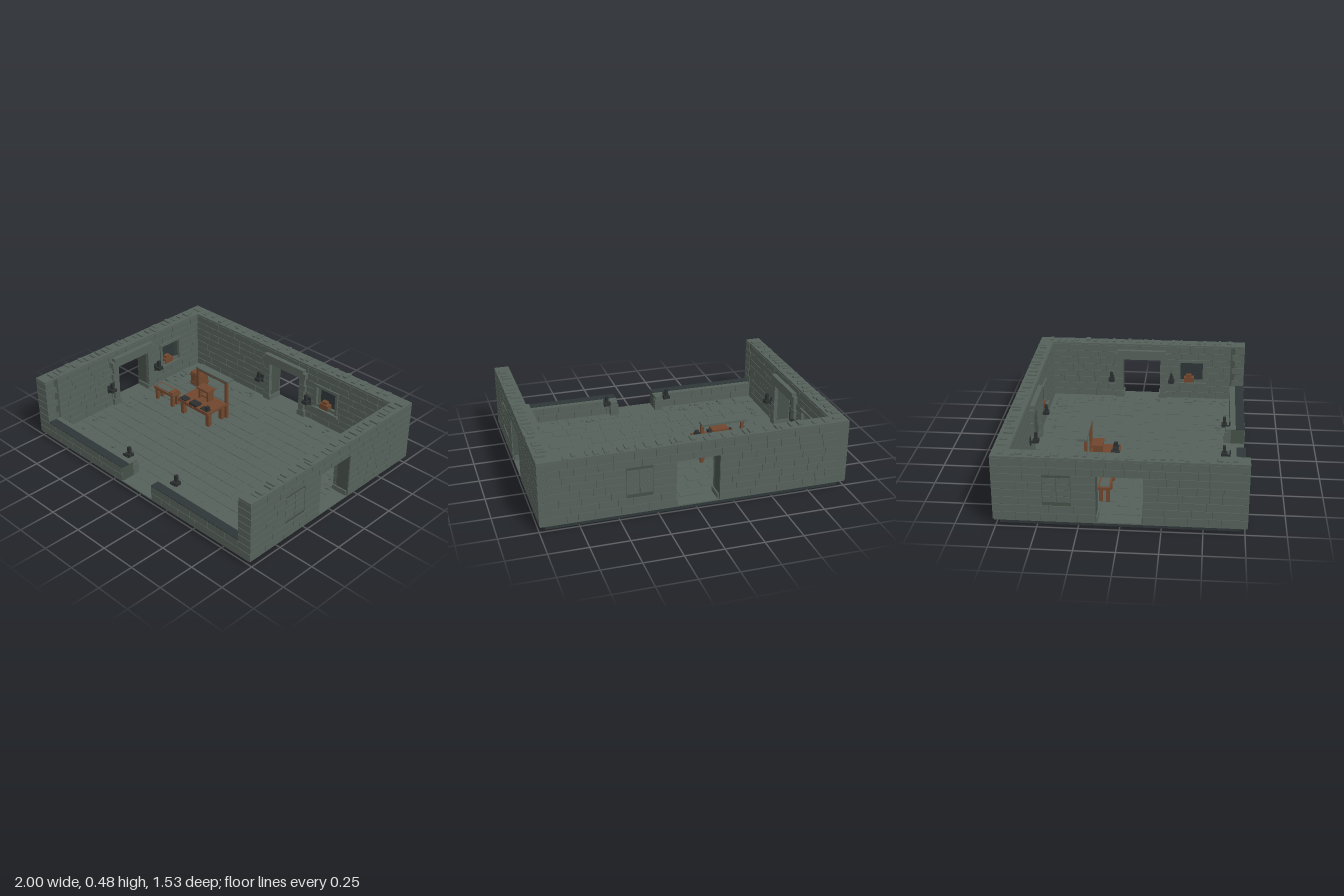
import * as THREE from 'three';
import { mergeGeometries } from 'three/addons/utils/BufferGeometryUtils.js';

const mat = (name, color) => Object.assign(new THREE.MeshStandardMaterial({ color }), { name });

export function createModel() {
  const stone = mat('stone', 0x56615a);
  const mortar = mat('mortar', 0x465049);
  const dark = mat('dark stone', 0x2e3638);
  const iron = mat('iron', 0x2b2f30);
  const wood = mat('wood', 0x70462d);

  let seed = 7;
  const rnd = (a = 0, b = 1) => {
    seed = (seed * 16807) % 2147483647;
    return a + (b - a) * (seed / 2147483647);
  };

  // box given by its min and max corners
  const span = (x0, x1, y0, y1, z0, z1) =>
    new THREE.BoxGeometry(x1 - x0, y1 - y0, z1 - z0)
      .translate((x0 + x1) / 2, (y0 + y1) / 2, (z0 + z1) / 2);
  const add = (parent, name, material, geos) => {
    const m = new THREE.Mesh(mergeGeometries(geos), material);
    m.name = name;
    parent.add(m);
    return m;
  };

  const model = new THREE.Group();
  model.name = 'stoneRoom';

  const FLOOR = 0.046, TOP = 0.456, DOOR = 0.14, DOORTOP = 0.355;
  const door = [-DOOR, DOOR, FLOOR, DOORTOP];
  const niche = [0.29, 0.46, 0.175, 0.335];

  // one leaf of wall with a doorway cut from its lower edge and optional holes
  const leaf = (h, z0, z1, holes) => {
    const s = new THREE.Shape();
    [[-h, FLOOR], [-DOOR, FLOOR], [-DOOR, DOORTOP], [DOOR, DOORTOP], [DOOR, FLOOR],
      [h, FLOOR], [h, TOP], [-h, TOP]].forEach(([x, y], i) => (i ? s.lineTo(x, y) : s.moveTo(x, y)));
    for (const [a, b, c, d] of holes) {
      const p = new THREE.Path();
      p.moveTo(a, c).lineTo(a, d).lineTo(b, d).lineTo(b, c).closePath();
      s.holes.push(p);
    }
    return new THREE.ExtrudeGeometry(s, { depth: z1 - z0, bevelEnabled: false })
      .translate(0, 0, z0).deleteAttribute('uv').toNonIndexed?.() ?? null;
  };

  // courses of thin bricks between u0 and u1, leaving openings free
  const bricks = (u0, u1, y0, y1, rows, z0, z1, openings) => {
    const out = [], rh = (y1 - y0) / rows;
    for (let r = 0; r < rows; r++) {
      const yb = y0 + r * rh, mid = yb + rh / 2;
      let runs = [[u0, u1]];
      for (const [a, b, c, d] of openings) {
        if (mid < c || mid > d) continue;
        runs = runs.flatMap(([p, q]) => [[p, Math.min(q, a)], [Math.max(p, b), q]])
          .filter(([p, q]) => q - p > 0.012);
      }
      for (const [p, q] of runs) {
        let u = p;
        while (u < q - 0.001) {
          let e = u + rnd(0.07, 0.19);
          if (q - e < 0.05) e = q;
          out.push(span(u + 0.0015, e - 0.0015, yb + 0.0015, yb + rh - 0.0015, z0, z1));
          u = e;
        }
      }
    }
    return out;
  };

  // bracket with an iron cup and a thin candle, standing off a wall
  const sconce = (parent, u, y) => {
    add(parent, 'sconce', iron, [
      span(u - 0.014, u + 0.014, y - 0.02, y + 0.04, 0, 0.008),
      span(u - 0.006, u + 0.006, y, y + 0.012, 0, 0.04),
      span(u - 0.022, u + 0.022, y + 0.006, y + 0.028, 0.022, 0.062),
      span(u - 0.01, u + 0.01, y + 0.028, y + 0.075, 0.033, 0.052),
    ]);
  };

  // full-height wall: inner face at z = 0 looking along +z, 0.1 thick
  const wall = (name, half, inner, outer) => {
    const g = new THREE.Group();
    g.name = name;
    const core = new THREE.Mesh(mergeGeometries([leaf(half, -0.05, -0.004, [niche]), leaf(half, -0.094, -0.05, [])]), mortar);
    core.name = 'wallCore';
    g.add(core);
    add(g, 'innerBricks', stone, bricks(-inner, inner, FLOOR, TOP, 8, -0.006, 0.002, [door, niche]));
    const blind = [];
    for (let i = 0; i < 2; i++) for (let j = 0; j < 4; j++) {
      const u = 0.29 + i * 0.085, y = 0.172 + j * 0.041;
      blind.push(span(u + 0.002, u + 0.083, y + 0.002, y + 0.039, -0.099, -0.092));
    }
    add(g, 'outerBricks', stone, [
      ...bricks(-outer, outer, FLOOR, TOP, 8, -0.1, -0.092, [door, [0.29, 0.46, 0.172, 0.336]]), ...blind]);

    // coping with loose stones on top
    const cope = [span(-half, half, TOP, 0.468, -0.1, 0)];
    for (let i = 0; i < 26; i++) {
      const u = -half + 0.04 + ((i + rnd(0, 0.6)) / 26) * (2 * half - 0.08), w = rnd(0.014, 0.035);
      const z = rnd(-0.099, -0.07);
      cope.push(span(u, u + w, 0.465, rnd(0.473, 0.48), z, z + rnd(0.045, 0.065)));
    }
    add(g, 'coping', stone, cope);

    // doorway surround
    const surround = [span(-0.2, 0.2, DOORTOP, 0.4, -0.01, 0.03), span(-0.18, 0.18, 0.4, 0.425, -0.01, 0.035)];
    for (const s of [-1, 1]) {
      for (let k = 0; k < 6; k++) {
        const w = k % 2 ? 0.045 : 0.055, a = s * DOOR, b = s * (DOOR + w);
        surround.push(span(Math.min(a, b), Math.max(a, b), FLOOR + k * 0.0515, FLOOR + k * 0.0515 + 0.0495, -0.01, 0.022));
      }
      surround.push(span(s * 0.136 - 0.006, s * 0.136 + 0.006, FLOOR, 0.08, -0.09, 0.022));
      sconce(g, s * 0.225, 0.18);
    }
    add(g, 'doorSurround', stone, surround);

    // niche window with dark back and a small wooden box on the sill
    add(g, 'nicheBack', dark, [span(0.29, 0.46, 0.175, 0.335, -0.05, -0.046)]);
    add(g, 'nicheFrame', stone, [
      span(0.265, 0.485, 0.155, 0.176, -0.045, 0.024), span(0.27, 0.48, 0.335, 0.355, -0.01, 0.014),
      span(0.272, 0.292, 0.176, 0.335, -0.01, 0.012), span(0.458, 0.478, 0.176, 0.335, -0.01, 0.012)]);
    add(g, 'nicheBox', wood, [span(0.32, 0.395, 0.176, 0.215, -0.036, 0.008), span(0.335, 0.375, 0.215, 0.235, -0.03, 0)]);
    model.add(g);
    return g;
  };

  wall('backWall', 0.9, 0.9, 0.93).position.set(0, 0, -0.665);
  for (const s of [-1, 1]) {
    const side = wall(s < 0 ? 'rightWall' : 'leftWall', 0.76, 0.665, 0.7);
    side.position.set(s * 0.9, 0, 0);
    side.rotation.y = -s * Math.PI / 2;
  }

  // corner blocks
  const quoins = [];
  for (const sx of [-1, 1]) for (const sz of [-1, 1]) for (let r = 0; r < 8; r++) {
    const y = FLOOR + r * 0.05125, l = r % 2 ? 0.07 : 0.09;
    quoins.push(span(-0.0505, 0.0505, y + 0.002, y + 0.049, -l / 2, l / 2).translate(sx * 0.9495, 0, sz * (0.765 - l / 2)));
  }
  for (const sx of [-1, 1]) for (const sz of [-1, 1])
    quoins.push(span(-0.05, 0.05, TOP, 0.468, -0.05, 0.05).translate(sx * 0.95, 0, sz * 0.715));
  add(model, 'cornerBlocks', stone, quoins);

  // low front wall on both sides of the entrance
  for (const s of [-1, 1]) {
    const g = new THREE.Group();
    g.name = 'frontLowWall';
    const a = s < 0 ? -0.9 : DOOR, b = s < 0 ? -DOOR : 0.9;
    add(g, 'lowCore', mortar, [span(a, b, FLOOR, 0.15, 0.669, 0.76)]);
    add(g, 'lowBricks', stone, [
      ...bricks(a, b, FLOOR, 0.152, 2, 0.758, 0.765, []),
      ...bricks(a, b, FLOOR, 0.152, 2, 0.663, 0.671, []),
      span(a, b, 0.148, 0.153, 0.665, 0.702)]);
    add(g, 'lowCap', dark, [span(a, b, 0.148, 0.156, 0.702, 0.764)]);
    const p = s * 0.168;
    add(g, 'entrancePier', stone, [span(p - 0.03, p + 0.03, FLOOR, 0.125, 0.622, 0.67), span(p - 0.024, p + 0.024, 0.125, 0.15, 0.63, 0.67)]);
    const hold = new THREE.Group();
    hold.name = 'frontSconce';
    hold.position.z = 0.665;
    hold.rotation.y = Math.PI;
    sconce(hold, -s * 0.225, 0.13);
    g.add(hold);
    model.add(g);
  }

  // base slab, floor and flagstones
  add(model, 'baseSlab', dark, [span(-0.96, 0.96, 0, 0.04, -0.73, 0.73)]);
  add(model, 'floor', stone, [span(-0.995, 0.995, 0.038, FLOOR, -0.762, 0.762)]);
  const flags = [];
  for (let r = 0; r < 15; r++) {
    const z = -0.665 + r * 0.0887;
    for (let u = -0.9; u < 0.899;) {
      let e = u + rnd(0.08, 0.17);
      if (0.9 - e < 0.06) e = 0.9;
      flags.push(span(u + 0.0015, e - 0.0015, 0.042, rnd(0.047, 0.05), z + 0.0015, z + 0.087));
      u = e;
    }
  }
  add(model, 'flagstones', stone, flags);

  // rubble along the walls
  const rubble = [];
  for (let i = 0; i < 80; i++) {
    const w = rnd(0.006, 0.016), d = rnd(0.006, 0.014), t = rnd(0, 0.09);
    const s = rnd() < 0.5 ? -1 : 1, ends = i % 2;
    const x = ends ? s * (0.87 - t) : s * rnd(0.25, 0.85), z = ends ? rnd(-0.62, 0.62) : (rnd() < 0.5 ? -1 : 1) * (0.64 - t);
    rubble.push(span(x - w, x + w, 0.045, rnd(0.053, 0.06), z - d, z + d));
  }
  add(model, 'rubble', stone, rubble);

  const legs = (x0, x1, z0, z1, y, t) => [[x0, z0], [x1 - t, z0], [x0, z1 - t], [x1 - t, z1 - t]]
    .map(([x, z]) => span(x, x + t, FLOOR, y, z, z + t));

  // workbench with back posts, shelf and tools
  const bench = new THREE.Group();
  bench.name = 'workbench';
  add(bench, 'benchFrame', wood, [
    ...legs(-0.475, -0.195, -0.24, -0.078, 0.155, 0.03),
    span(-0.485, -0.338, 0.15, 0.17, -0.25, -0.06), span(-0.332, -0.185, 0.15, 0.17, -0.25, -0.06),
    span(-0.46, -0.21, 0.12, 0.15, -0.1, -0.088),
    span(-0.485, -0.465, FLOOR, 0.335, -0.27, -0.25), span(-0.205, -0.185, FLOOR, 0.335, -0.27, -0.25),
    span(-0.465, -0.205, 0.318, 0.332, -0.265, -0.255)]);
  add(bench, 'toolRack', wood, [
    span(-0.395, -0.28, 0.245, 0.258, -0.235, -0.16), span(-0.385, -0.37, 0.17, 0.245, -0.225, -0.17),
    span(-0.305, -0.29, 0.17, 0.245, -0.225, -0.17), span(-0.37, -0.305, 0.19, 0.2, -0.22, -0.175)]);
  add(bench, 'benchShelf', stone, [span(-0.492, -0.178, 0.332, 0.346, -0.312, -0.25)]);
  add(bench, 'benchTools', iron, [
    span(-0.47, -0.41, 0.17, 0.178, -0.115, -0.065), span(-0.37, -0.3, 0.17, 0.186, -0.115, -0.06),
    span(-0.27, -0.2, 0.17, 0.176, -0.11, -0.07), span(-0.23, -0.205, 0.176, 0.2, -0.105, -0.08)]);
  model.add(bench);

  // small side table
  const table = new THREE.Group();
  table.name = 'sideTable';
  add(table, 'tableFrame', wood, [
    ...legs(-0.745, -0.565, -0.148, -0.082, 0.135, 0.022),
    span(-0.755, -0.555, 0.132, 0.15, -0.155, -0.075), span(-0.6, -0.565, 0.15, 0.162, -0.148, -0.082)]);
  add(table, 'tableTop', stone, [span(-0.742, -0.607, 0.148, 0.154, -0.143, -0.087)]);
  model.add(table);

  // slatted crate
  const crate = [span(-0.695, -0.625, FLOOR, 0.145, -0.48, -0.41)];
  for (let i = 0; i < 4; i++) {
    const x = -0.705 + i * 0.0235;
    crate.push(span(x, x + 0.0195, 0.05, 0.158, -0.49, -0.402));
  }
  for (const y of [0.065, 0.13]) crate.push(span(-0.71, -0.61, y, y + 0.014, -0.494, -0.398));
  add(model, 'crate', wood, crate);

  return model;
}
